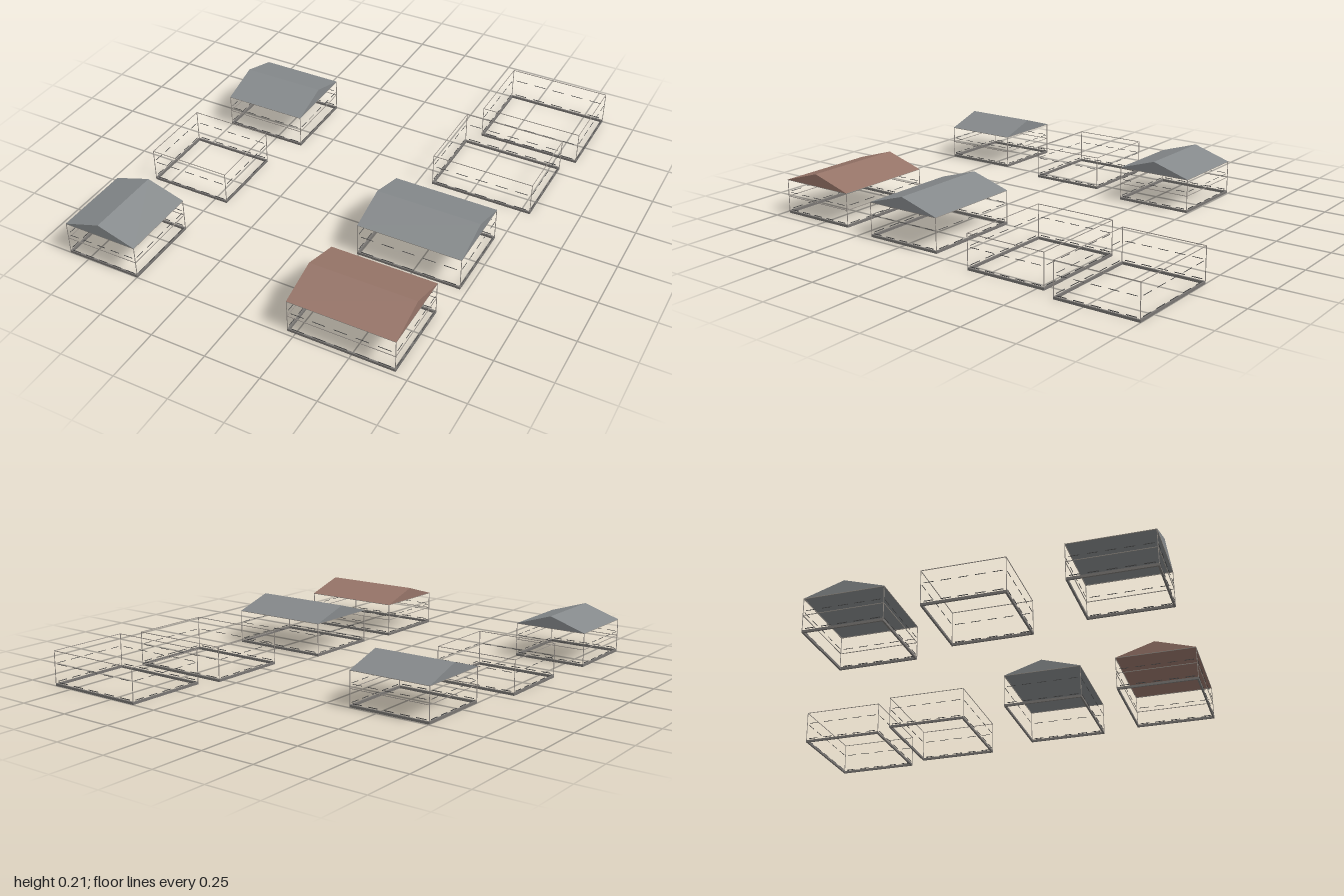
import * as THREE from 'three';

const mat = (name, color) => {
  const m = new THREE.MeshStandardMaterial({ color });
  m.name = name;
  return m;
};

const EAVES = 0.158, RIDGE = 0.214, BAR = 0.0025, PLINTH = 0.011;

export function createModel() {
  const model = new THREE.Group();
  model.name = 'houseEstate';

  const slate = mat('slateGrey', 0x85898b);
  const brown = mat('tileBrown', 0x967468);
  const frame = mat('frameGrey', 0x98928b);
  const stone = mat('plinthGrey', 0x787572);
  const dark = mat('darkTrim', 0x484848);

  const box = (parent, name, w, h, d, x, y, z, material) => {
    const m = new THREE.Mesh(new THREE.BoxGeometry(w, h, d), material);
    m.name = name;
    m.position.set(x, y, z);
    parent.add(m);
  };

  // Rectangular ring of four bars, its outer edge on the house outline
  const ring = (parent, name, w, d, y, h, t, material) => {
    for (const s of [-1, 1]) {
      box(parent, name, w, h, t, 0, y, s * (d - t) / 2, material);
      box(parent, name, t, h, d - 2 * t, s * (w - t) / 2, y, 0, material);
    }
  };

  // Evenly spaced short strips, flush with all four walls
  const strips = (parent, name, w, d, y, h, t) => {
    const count = 5;
    for (const s of [-1, 1]) {
      for (let i = 0; i < count; i++) {
        const f = (i + 0.5) / count - 0.5;
        box(parent, name, w / count * 0.6, h, t, f * w, y, s * (d - t) / 2, dark);
        box(parent, name, t, h, d / count * 0.6, s * (w - t) / 2, y, f * d, dark);
      }
    }
  };

  // Gabled prism, its ridge running along x or z
  const gable = (parent, w, d, alongX, material) => {
    const span = alongX ? d : w, length = alongX ? w : d;
    const shape = new THREE.Shape();
    shape.moveTo(-span / 2, 0);
    shape.lineTo(span / 2, 0);
    shape.lineTo(0, RIDGE - EAVES);
    shape.closePath();
    const geo = new THREE.ExtrudeGeometry(shape, { depth: length, bevelEnabled: false });
    geo.translate(0, 0, -length / 2);
    if (alongX) geo.rotateY(Math.PI / 2);
    const m = new THREE.Mesh(geo, material);
    m.name = 'gableRoof';
    m.position.y = EAVES;
    parent.add(m);
  };

  const house = ({ name, x, z, roof, alongX = true, rail = false }) => {
    const g = new THREE.Group();
    g.name = name;
    const w = x[1] - x[0], d = z[1] - z[0];
    g.position.set((x[0] + x[1]) / 2, 0, (z[0] + z[1]) / 2);

    // Plinth, eaves frame and corner posts
    ring(g, 'plinth', w, d, PLINTH / 2, PLINTH, 0.008, stone);
    ring(g, 'eavesFrame', w, d, EAVES - BAR / 2, BAR, BAR, frame);
    for (const sx of [-1, 1]) for (const sz of [-1, 1]) {
      box(g, 'cornerPost', BAR, EAVES - PLINTH - BAR, BAR,
        sx * (w - BAR) / 2, (EAVES + PLINTH - BAR) / 2, sz * (d - BAR) / 2, frame);
    }

    // Broken strips on the walls, and the floor band of the taller type
    strips(g, 'plinthStrip', w, d, 0.0175, 0.003, 0.002);
    strips(g, 'wallStrip', w, d, 0.1, 0.002, 0.002);
    if (rail) ring(g, 'floorBand', w, d, 0.08, BAR, BAR, frame);

    if (roof) gable(g, w, d, alongX, roof);
    model.add(g);
  };

  // Left-hand row (+x), front to back
  house({ name: 'brownHouse', x: [0.213, 0.692], z: [0.61, 0.98], roof: brown, rail: true });
  house({ name: 'greyHouse', x: [0.242, 0.721], z: [0.07, 0.44], roof: slate });
  house({ name: 'openHouseNear', x: [0.317, 0.794], z: [-0.535, -0.156] });
  house({ name: 'openHouseFar', x: [0.367, 0.845], z: [-1, -0.614] });

  // Right-hand row (-x), front to back
  house({ name: 'frontGableHouse', x: [-0.845, -0.497], z: [0.642, 1], roof: slate, alongX: false, rail: true });
  house({ name: 'openHouseMiddle', x: [-0.822, -0.438], z: [0.048, 0.404] });
  house({ name: 'rearGreyHouse', x: [-0.751, -0.363], z: [-0.495, -0.135], roof: slate, rail: true });

  return model;
}
